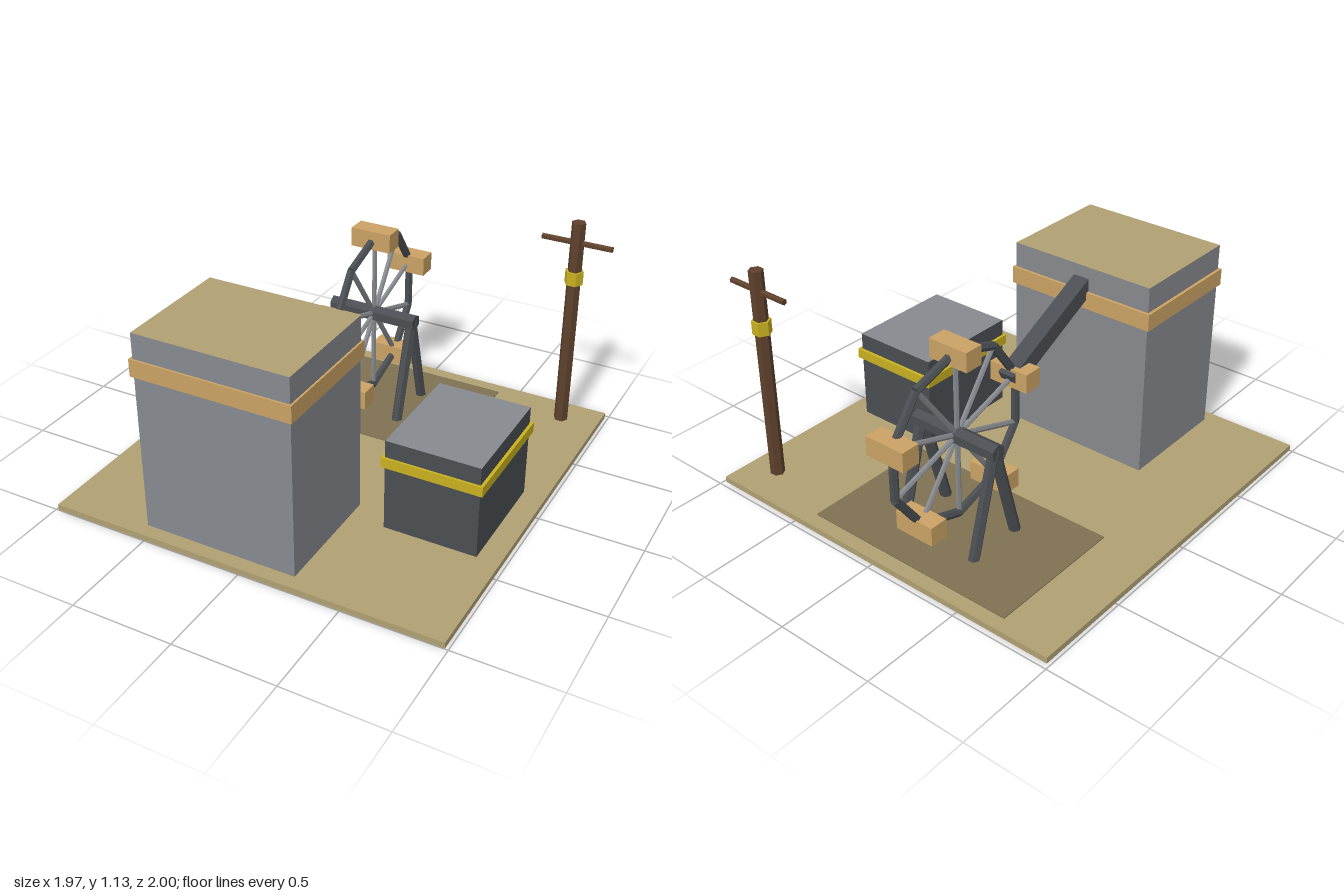
import * as THREE from 'three';

const paint = (name, color) => {
  const m = new THREE.MeshStandardMaterial({ color });
  m.name = name;
  m.flatShading = true;
  return m;
};

export function createModel() {
  const sand = paint('sand', 0xb0a073);
  const earth = paint('dark earth', 0x7f7252);
  const grey = paint('grey metal', 0x86898e);
  const dark = paint('dark iron', 0x4a4e52);
  const tan = paint('tan', 0xcaa264);
  const yellow = paint('yellow', 0xc8b020);
  const wood = paint('brown wood', 0x5e412c);

  const model = new THREE.Group();
  model.name = 'millYard';
  const group = (name) => {
    const g = new THREE.Group();
    g.name = name;
    model.add(g);
    return g;
  };

  // Box given by its limits on each axis
  const box = (parent, name, mat, [x0, x1], [y0, y1], [z0, z1]) => {
    const mesh = new THREE.Mesh(new THREE.BoxGeometry(x1 - x0, y1 - y0, z1 - z0), mat);
    mesh.position.set((x0 + x1) / 2, (y0 + y1) / 2, (z0 + z1) / 2);
    mesh.name = name;
    parent.add(mesh);
    return mesh;
  };

  // Six-sided bar between two points
  const bar = (parent, name, mat, a, b, r) => {
    const from = new THREE.Vector3(...a), to = new THREE.Vector3(...b);
    const dir = to.clone().sub(from);
    const geo = new THREE.CylinderGeometry(r, r, dir.length(), 6).rotateY(Math.PI / 6);
    const mesh = new THREE.Mesh(geo, mat);
    mesh.quaternion.setFromUnitVectors(new THREE.Vector3(0, 1, 0), dir.normalize());
    mesh.position.copy(from).add(to).multiplyScalar(0.5);
    mesh.name = name;
    parent.add(mesh);
    return mesh;
  };

  // Ground
  const ground = group('ground');
  box(ground, 'basePlate', sand, [-0.985, 0.985], [0, 0.03], [-0.975, 1]);
  box(ground, 'wheelPad', earth, [-0.705, 0.42], [0.028, 0.035], [-0.905, -0.2]);

  // Buildings: walls with a differently coloured roof face, and a band
  const tower = group('tower');
  box(tower, 'towerBody', [grey, grey, sand, grey, grey, grey],
    [-0.525, 0.245], [0.03, 1.02], [0.335, 0.93]);
  box(tower, 'towerBand', tan, [-0.54, 0.255], [0.81, 0.895], [0.32, 0.94]);

  const shed = group('shed');
  box(shed, 'shedBody', [dark, dark, grey, dark, dark, dark],
    [0.42, 0.875], [0.03, 0.495], [-0.125, 0.435]);
  box(shed, 'shedBand', yellow, [0.405, 0.89], [0.36, 0.41], [-0.142, 0.447]);

  // Bucket wheel
  const cx = -0.145, cy = 0.53, cz = -0.55, R = 0.42, count = 10;
  const wheel = group('bucketWheel');
  const rimPoint = (i) => {
    const t = (i / count) * Math.PI * 2;
    return [cx, cy + Math.cos(t) * R, cz + Math.sin(t) * R];
  };
  for (let i = 0; i < count; i++) {
    const p = rimPoint(i);
    bar(wheel, 'rimSegment', dark, p, rimPoint(i + 1), 0.021);
    bar(wheel, 'spoke', grey, [cx, cy, cz], p, 0.013);
    if (i % 2 === 0) {
      const h = 0.048;
      box(wheel, 'bucket', tan, [cx - 0.105, cx + 0.105], [p[1] - h, p[1] + h], [p[2] - h, p[2] + h]);
    }
  }

  // Axle and A-frame legs
  const frame = group('wheelFrame');
  bar(frame, 'axle', dark, [cx - 0.235, cy, cz], [cx + 0.235, cy, cz], 0.043);
  for (const sx of [-1, 1]) {
    for (const sz of [-1, 1]) {
      const x = cx + sx * 0.21;
      bar(frame, 'leg', dark, [x, 0.004, cz + sz * 0.15], [x, cy + 0.015, cz], 0.028);
    }
  }

  // Sloping chute from the tower to the wheel
  const start = new THREE.Vector3(cx, 0.945, 0.4), end = new THREE.Vector3(cx, 0.645, -0.2);
  const chute = new THREE.Mesh(new THREE.BoxGeometry(0.085, 0.085, start.distanceTo(end)), dark);
  chute.position.copy(start).add(end).multiplyScalar(0.5);
  chute.rotation.x = -Math.atan2(start.y - end.y, start.z - end.z);
  chute.name = 'chute';
  model.add(chute);

  // Pole with crossbar and collar
  const pole = group('pole');
  bar(pole, 'polePost', wood, [0.805, 0.045, -0.8], [0.805, 1.13, -0.8], 0.035);
  bar(pole, 'poleCrossbar', wood, [0.63, 1.025, -0.8], [0.98, 1.025, -0.8], 0.015);
  bar(pole, 'poleCollar', yellow, [0.805, 0.812, -0.8], [0.805, 0.88, -0.8], 0.046);

  return model;
}
